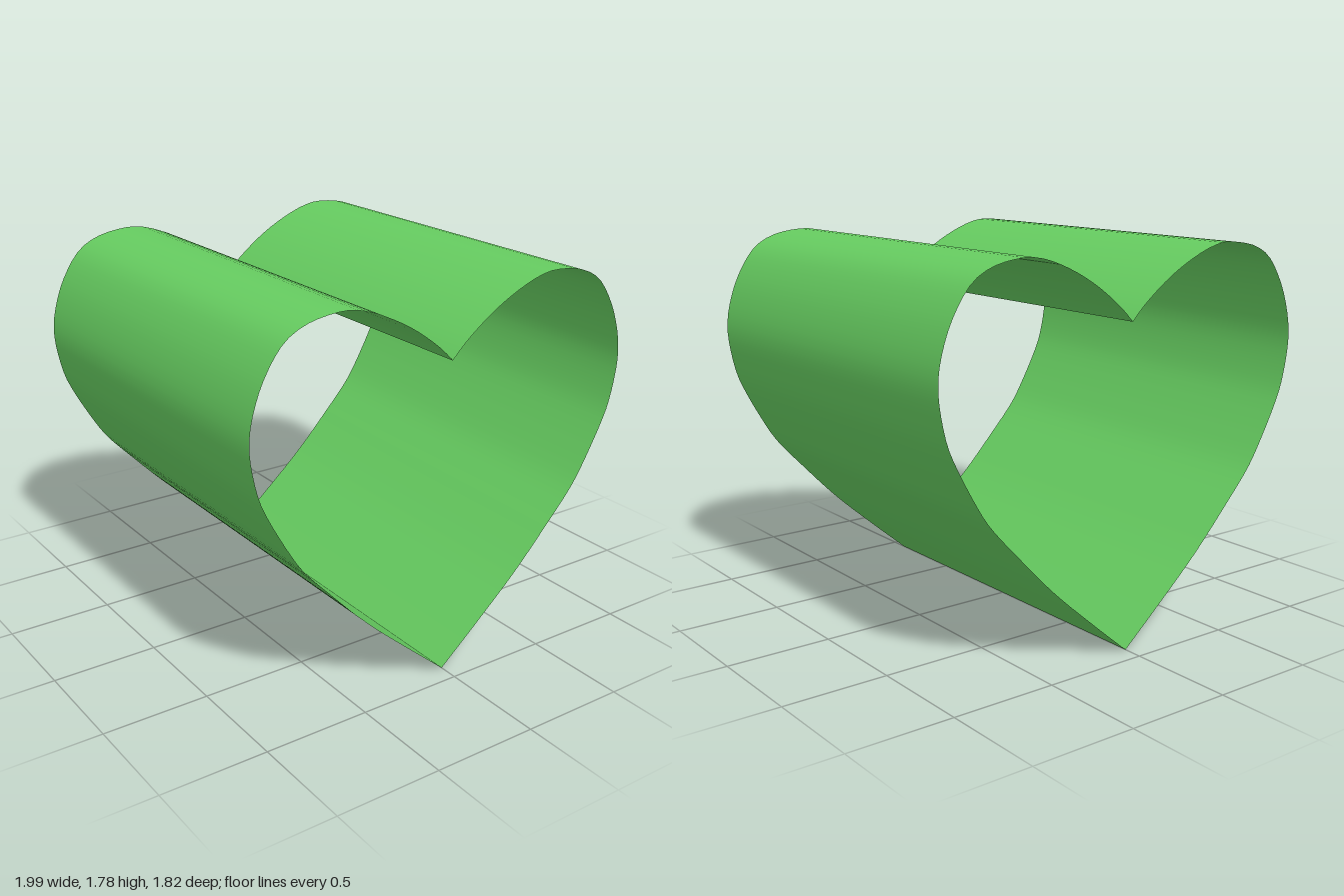
import * as THREE from 'three';

const HALF_DEPTH = 0.91;
const STEPS = 64;

// Half outline from the bottom tip, round the lobe, to the notch
const outline = new THREE.CatmullRomCurve3([
  [0, 0], [0.2, 0.17], [0.42, 0.365], [0.605, 0.555], [0.755, 0.72],
  [0.815, 0.81], [0.925, 1.01], [0.96, 1.095], [0.994, 1.26], [0.996, 1.35],
  [0.975, 1.455], [0.925, 1.58], [0.835, 1.705], [0.735, 1.76],
  [0.58, 1.785], [0.5, 1.779], [0.375, 1.738], [0.215, 1.655],
  [0.06, 1.54], [0, 1.48],
].map(([x, y]) => new THREE.Vector3(x, y, 0)), false, 'centripetal');

// One smooth half of the open shell; side is +1 (left) or -1 (right)
function halfShell(side) {
  const geometry = new THREE.PlaneGeometry(1, 1, 1, STEPS);
  const position = geometry.attributes.position;
  const points = outline.getSpacedPoints(STEPS);
  for (let i = 0; i < position.count; i++) {
    const p = points[Math.floor(i / 2)];
    const z = (i % 2 ? HALF_DEPTH : -HALF_DEPTH) * side;
    position.setXYZ(i, p.x * side, p.y, z);
  }
  geometry.computeVertexNormals();
  return geometry;
}

export function createModel() {
  const group = new THREE.Group();
  group.name = 'heartTube';
  const material = new THREE.MeshStandardMaterial({ color: 0x66cc60, side: THREE.DoubleSide });

  // Separate halves keep the tip and the notch sharp
  for (const [name, side] of [['leftHalf', 1], ['rightHalf', -1]]) {
    const mesh = new THREE.Mesh(halfShell(side), material);
    mesh.name = name;
    group.add(mesh);
  }
  return group;
}
